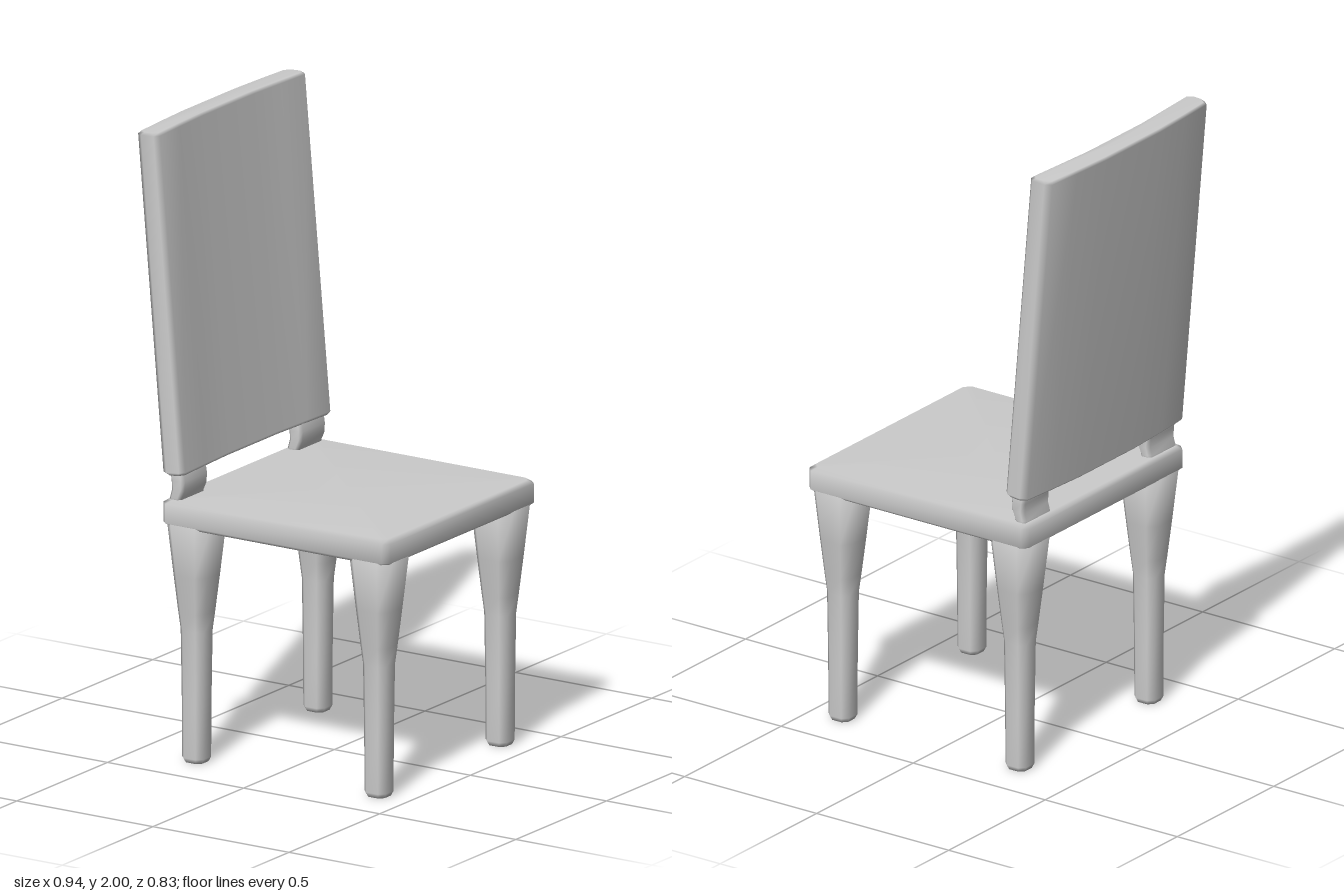
import * as THREE from 'three';

const material = new THREE.MeshStandardMaterial({ color: 0xcccccc });

// Closed smooth solid from stacked rings; each ring is a list of [x, y, z], bottom to top.
function loft(name, rings) {
  const n = rings[0].length, pos = rings.flat(2), index = [];
  const last = rings.length - 1;
  for (let r = 0; r < last; r++) {
    for (let i = 0; i < n; i++) {
      const j = (i + 1) % n, a = r * n + i, b = r * n + j;
      index.push(a, a + n, b, b, a + n, b + n);
    }
  }
  // End caps fan out from the middle of the first and last ring
  for (const r of [0, last]) {
    const centre = pos.length / 3;
    for (let k = 0; k < 3; k++) pos.push(rings[r].reduce((s, p) => s + p[k], 0) / n);
    for (let i = 0; i < n; i++) {
      const a = r * n + i, b = r * n + (i + 1) % n;
      if (r === 0) index.push(centre, a, b);
      else index.push(centre, b, a);
    }
  }
  const geometry = new THREE.BufferGeometry();
  geometry.setAttribute('position', new THREE.Float32BufferAttribute(pos, 3));
  geometry.setIndex(index);
  geometry.computeVertexNormals();
  const mesh = new THREE.Mesh(geometry, material);
  mesh.name = name;
  return mesh;
}

// Rectangle ring with cut corners: half sizes a (x) and b (z), cut c
function cutRect(x, y, z, a, b, c) {
  return [[a, -b + c], [a, b - c], [a - c, b], [-a + c, b],
    [-a, b - c], [-a, -b + c], [-a + c, -b], [a - c, -b]].map(([u, v]) => [x + u, y, z + v]);
}

// Backrest ring: gently bowed towards the rear, shrunk by an inset at the rims
function backRing(x, y, inset, tilt) {
  const e = 0.415 - inset, t = 0.04 - inset;
  const half = [[t, 0.14], [t + 0.008, 0.28], [t + 0.015, e - 0.015], [t + 0.001, e],
    [-t + 0.035, e], [-t + 0.015, e - 0.015], [-t + 0.007, 0.28], [-t, 0.14]];
  const mirrored = half.map(([u, v]) => [u, -v]).reverse();
  return [...half, ...mirrored].map(([u, v]) => [x + u, y + u * tilt, v]);
}

export function createModel() {
  const chair = new THREE.Group();
  chair.name = 'chair';

  // Seat slab with softened edges
  chair.add(loft('seat', [
    [0.755, 0.402, 0.4], [0.767, 0.4175, 0.415], [0.828, 0.4175, 0.415], [0.84, 0.402, 0.4],
  ].map(([y, a, b]) => cutRect(0.0525, y, 0, a, b, 0.02))));

  // Tapered legs: height, half width
  const legProfile = [[0, 0.032], [0.015, 0.039], [0.2, 0.04], [0.42, 0.043],
    [0.48, 0.05], [0.6, 0.063], [0.765, 0.08]];
  for (const [end, x] of [['rear', -0.283], ['front', 0.387]]) {
    for (const [side, s] of [['Left', -1], ['Right', 1]]) {
      chair.add(loft(end + side + 'Leg',
        legProfile.map(([y, w]) => cutRect(x, y, s * 0.334, w, w, w * 0.45))));
    }
  }

  // Bent brackets joining seat and backrest: height, centre x, half thickness
  const bracketProfile = [[0.81, -0.328, 0.02], [0.845, -0.325, 0.021],
    [0.87, -0.316, 0.023], [0.9, -0.316, 0.025], [0.96, -0.325, 0.025]];
  for (const [side, s] of [['left', -1], ['right', 1]]) {
    chair.add(loft(side + 'Bracket',
      bracketProfile.map(([y, x, t]) => cutRect(x, y, s * 0.325, t, 0.07, 0.01))));
  }

  // Leaning backrest
  chair.add(loft('backrest', [
    backRing(-0.335, 0.919, 0.008, 0.1), backRing(-0.336, 0.929, 0, 0.1),
    backRing(-0.429, 1.99, 0, 0.05), backRing(-0.43, 1.998, 0.008, 0.05),
  ]));

  return chair;
}
